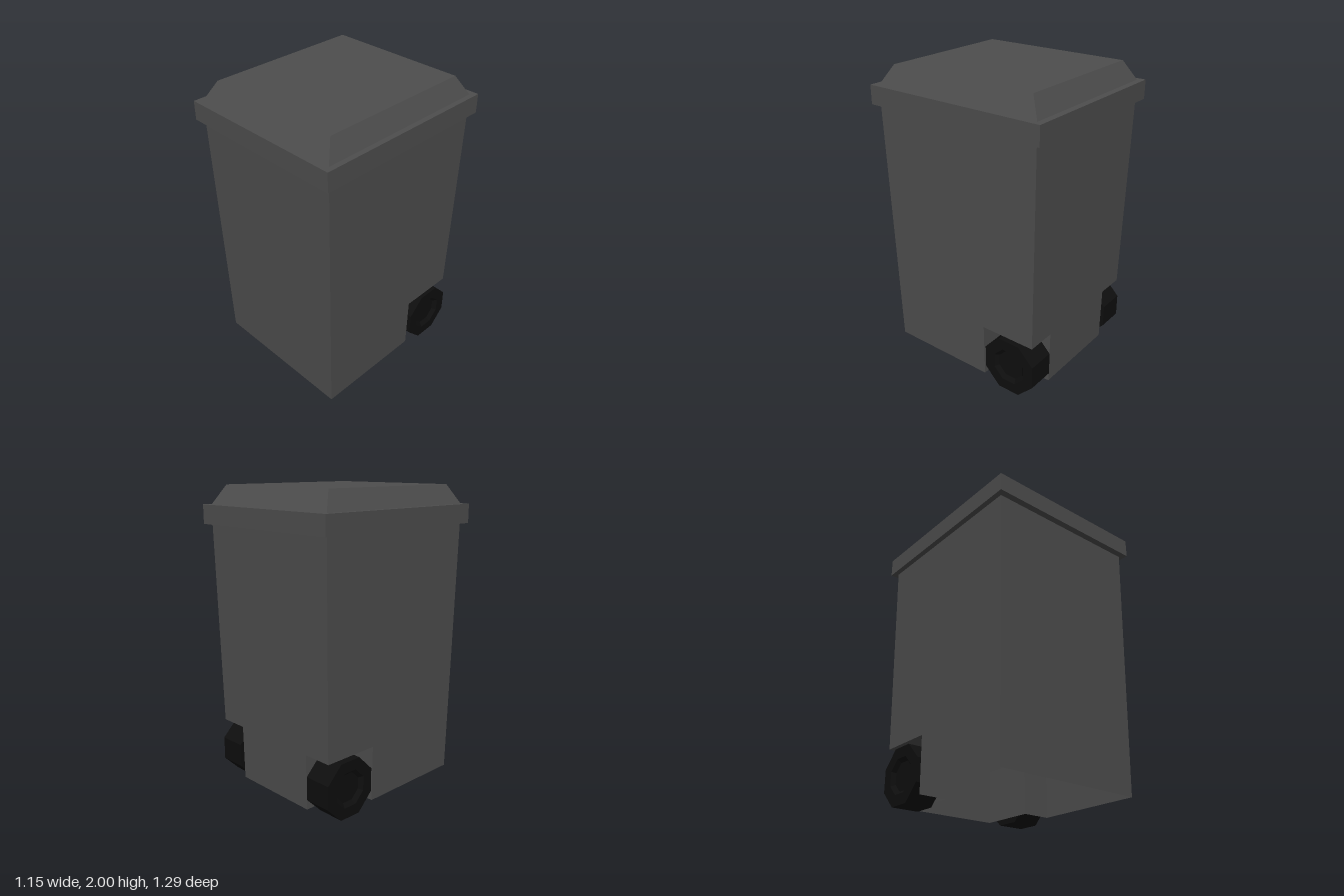
import * as THREE from 'three';

const plastic = new THREE.MeshStandardMaterial({ color: 0x4d4d4d, flatShading: true, side: THREE.DoubleSide });
const rubber = new THREE.MeshStandardMaterial({ color: 0x0e0e0e, flatShading: true });

// Skin a stack of closed rings (equal point counts, front edge running left to right)
function loft(rings) {
  const pos = [];
  const n = rings[0].length;
  for (let r = 0; r < rings.length - 1; r++) {
    for (let i = 0; i < n; i++) {
      const j = (i + 1) % n;
      const a = rings[r][i], b = rings[r][j], c = rings[r + 1][j], d = rings[r + 1][i];
      for (const tri of [[a, b, c], [a, c, d]]) {
        const [p, q, s] = tri.map((v) => new THREE.Vector3(...v));
        // Skip collapsed triangles
        if (q.clone().sub(p).cross(s.clone().sub(p)).length() > 1e-8) pos.push(...tri.flat());
      }
    }
  }
  const geo = new THREE.BufferGeometry();
  geo.setAttribute('position', new THREE.Float32BufferAttribute(pos, 3));
  geo.computeVertexNormals();
  return geo;
}

const rect = (w, d, y) => [[-w, y, d], [w, y, d], [w, y, -d], [-w, y, -d]];

// Body section: slightly wider with height, back corners cut away when notched
function bodyRing(y, notched) {
  const t = (y - 0.03) / 1.72;
  const w = 0.515 + 0.025 * t, d = 0.57 + 0.03 * t;
  const nx = 0.32, nz = -0.19;
  const bx = notched ? nx : w, bz = notched ? nz : -d;
  return [[-w, d], [w, d], [w, nz], [bx, bz], [nx, -d], [-nx, -d], [-bx, bz], [-w, nz]]
    .map(([x, z]) => [x, y, z]);
}

function add(parent, name, geometry, material) {
  const mesh = new THREE.Mesh(geometry, material);
  mesh.name = name;
  parent.add(mesh);
  return mesh;
}

export function createModel() {
  const bin = new THREE.Group();
  bin.name = 'wheeledBin';

  // Hollow tapered body, open underneath, with wheel notches
  add(bin, 'body', loft([
    bodyRing(0.03, true), bodyRing(0.4, true), bodyRing(0.4, false), bodyRing(1.75, false),
  ]), plastic);

  // Lid: overhanging rim and sloped top
  add(bin, 'lid', loft([
    rect(0.54, 0.6, 1.75), rect(0.575, 0.643, 1.75), rect(0.575, 0.643, 1.875),
    rect(0.54, 0.6, 1.875), rect(0.475, 0.525, 2), rect(0, 0, 2),
  ]), plastic);

  // Eight-sided wheels with a recessed hub on the outside
  const profile = [[0, 0], [0.203, 0], [0.203, 0.19], [0.125, 0.19], [0.1, 0.165], [0, 0.165]]
    .map(([r, h]) => new THREE.Vector2(r, h));
  const wheelGeo = new THREE.LatheGeometry(profile, 8, Math.PI / 8).rotateZ(-Math.PI / 2);
  for (const side of [1, -1]) {
    const wheel = add(bin, side > 0 ? 'leftWheel' : 'rightWheel', wheelGeo, rubber);
    wheel.position.set(side * 0.34, 0.1875, -0.4);
    if (side < 0) wheel.rotation.y = Math.PI;
  }
  return bin;
}
